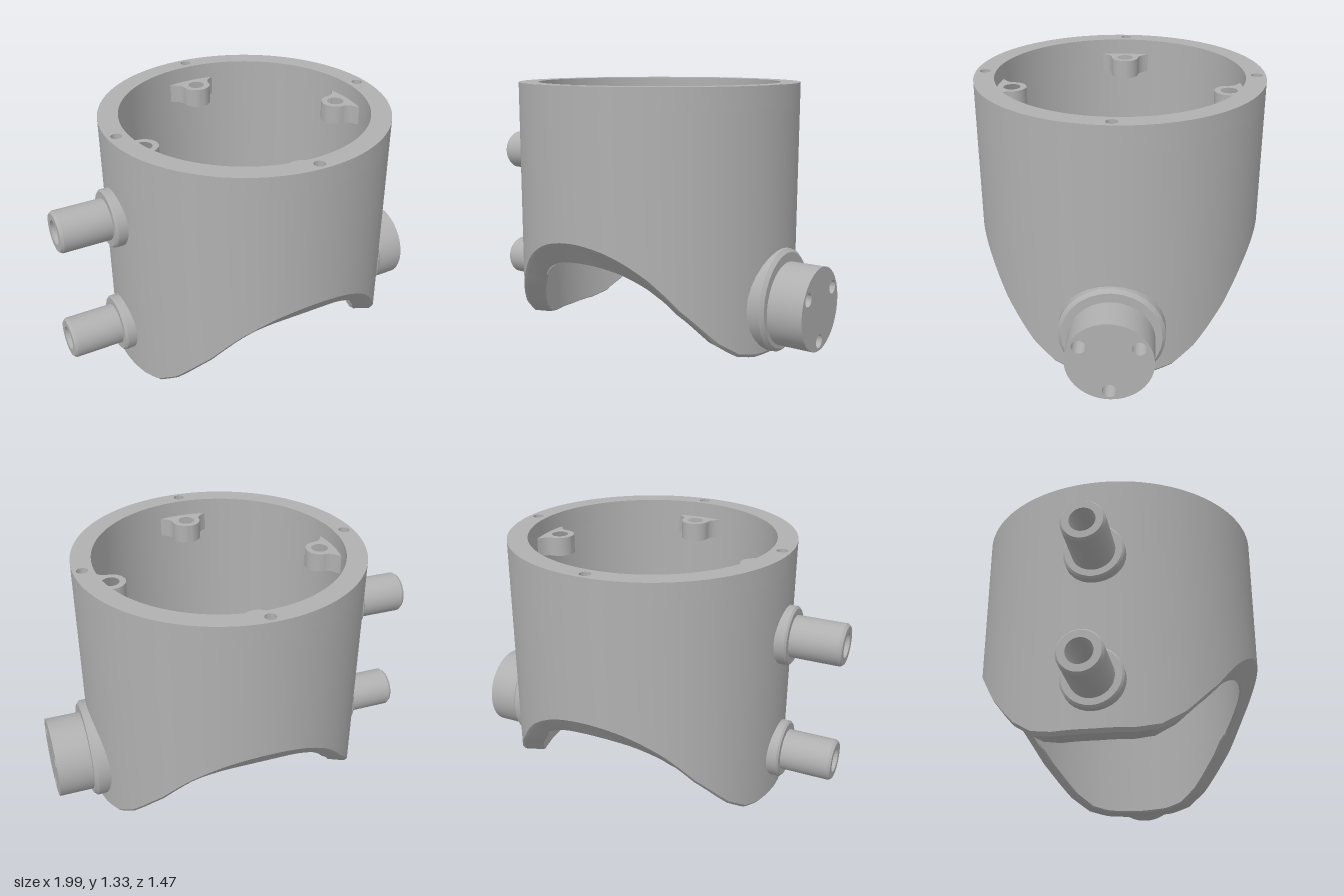
import * as THREE from 'three';
import { toCreasedNormals } from 'three/addons/utils/BufferGeometryUtils.js';

const R = 0.737, BORE = 0.634, LOWER_BORE = 0.622, STEP = 0.34, TOP = 1.333, RIM = 1.23;

// height of the saddle-shaped lower edge, by distance from the pipe axis
const EDGE = [[0, 0], [0.2, 0.006], [0.3, 0.03], [0.4, 0.1], [0.45, 0.155],
  [0.55, 0.28], [0.64, 0.43], [0.707, 0.53], [0.737, 0.57]];
function edgeHeight(c) {
  const v = Math.min(Math.abs(c) * R, R);
  let i = 1;
  while (i < EDGE.length - 1 && EDGE[i][0] < v) i++;
  const [x0, y0] = EDGE[i - 1], [x1, y1] = EDGE[i];
  return y0 + (y1 - y0) * (v - x0) / (x1 - x0);
}

const crease = (geometry, angle = 0.6) => toCreasedNormals(geometry, angle);

// closed wall section swept round the vertical axis
function bodyGeometry(segments = 120) {
  const section = (t) => {
    const c = Math.abs(Math.sin(t));
    const out = edgeHeight(c);
    const inn = Math.max(out - 0.1 * c ** 4, 0);
    const low = inn < STEP ? LOWER_BORE : BORE;
    const step = Math.max(STEP, inn);
    return [[R - 0.015, out], [R, out + 0.018], [R, RIM], [BORE, RIM],
      [BORE, step], [low, step], [low, inn + 0.008], [low + 0.01, inn]];
  };
  const positions = [], index = [];
  const n = section(0).length;
  for (let i = 0; i < segments; i++) {
    const t = i / segments * Math.PI * 2;
    for (const [r, y] of section(t)) positions.push(r * Math.cos(t), y, r * Math.sin(t));
    const next = (i + 1) % segments;
    for (let j = 0; j < n; j++) {
      const k = (j + 1) % n;
      const a = i * n + j, b = i * n + k, c = next * n + k, d = next * n + j;
      index.push(a, b, c, a, c, d);
    }
  }
  const g = new THREE.BufferGeometry();
  g.setAttribute('position', new THREE.Float32BufferAttribute(positions, 3));
  g.setIndex(index);
  return crease(g);
}

function circlePath(x, y, r) {
  return new THREE.Path().absarc(x, y, r, 0, Math.PI * 2, true);
}

function extrude(shape, depth, curveSegments) {
  return crease(new THREE.ExtrudeGeometry(shape, { depth, curveSegments, bevelEnabled: false }));
}

function lathe(points, segments) {
  return crease(new THREE.LatheGeometry(points.map(([x, y]) => new THREE.Vector2(x, y)), segments));
}

export function createModel() {
  const grey = new THREE.MeshStandardMaterial({ color: 0xb0b0b0 });
  grey.name = 'grey';
  const model = new THREE.Group();
  model.name = 'pipeHousing';

  // local x runs along the fittings' axis
  const housing = new THREE.Group();
  housing.name = 'housing';
  housing.position.x = 0.025;
  housing.rotation.y = -0.323;
  model.add(housing);

  const add = (name, geometry, y = 0) => {
    const mesh = new THREE.Mesh(geometry, grey);
    mesh.name = name;
    mesh.position.y = y;
    housing.add(mesh);
    return mesh;
  };

  add('body', bodyGeometry());

  // top rim with four blind screw holes
  const ring = new THREE.Shape().absarc(0, 0, R, 0, Math.PI * 2, false);
  ring.holes.push(circlePath(0, 0, BORE));
  for (let i = 0; i < 4; i++) {
    const a = i * Math.PI / 2;
    ring.holes.push(circlePath(0.69 * Math.cos(a), 0.69 * Math.sin(a), 0.028));
  }
  add('rim', extrude(ring, TOP - RIM, 60).rotateX(-Math.PI / 2), RIM);

  // four lugs flaring into the inner wall
  const lug = new THREE.Shape();
  lug.moveTo(0.665, -0.14);
  lug.lineTo(0.625, -0.14);
  lug.quadraticCurveTo(0.6, -0.075, 0.557, -0.075);
  lug.absarc(0.557, 0, 0.075, -Math.PI / 2, Math.PI / 2, true);
  lug.quadraticCurveTo(0.6, 0.075, 0.625, 0.14);
  lug.lineTo(0.665, 0.14);
  lug.holes.push(circlePath(0.557, 0, 0.044));
  const lugGeometry = extrude(lug, 0.1, 12).rotateX(-Math.PI / 2);
  for (let i = 0; i < 4; i++) add('lug', lugGeometry, 1.15).rotation.y = i * Math.PI / 2;

  // two hollow nozzles with collars
  const nozzle = lathe([[0, 0.66], [0.15, 0.66], [0.15, 0.773], [0.14, 0.783], [0.107, 0.783],
    [0.107, 1.03], [0.097, 1.044], [0.062, 1.044], [0.062, 0.8], [0, 0.8]], 32).rotateZ(Math.PI / 2);
  for (const y of [0.25, 0.903]) add('nozzle', nozzle, y);

  // large flange and hub with three screw holes
  add('flange', lathe([[0, 0.66], [0.262, 0.66], [0.262, 0.755], [0.245, 0.773], [0, 0.773]], 28)
    .rotateZ(-Math.PI / 2), 0.262);
  const hub = new THREE.Shape().absarc(0, 0, 0.212, 0, Math.PI * 2, false);
  for (const deg of [30, 150, 270]) {
    const a = deg * Math.PI / 180;
    hub.holes.push(circlePath(0.163 * Math.cos(a), 0.163 * Math.sin(a), 0.035));
  }
  add('hub', extrude(hub, 0.19, 28).translate(0, 0, 0.764).rotateY(Math.PI / 2), 0.247);

  return model;
}
